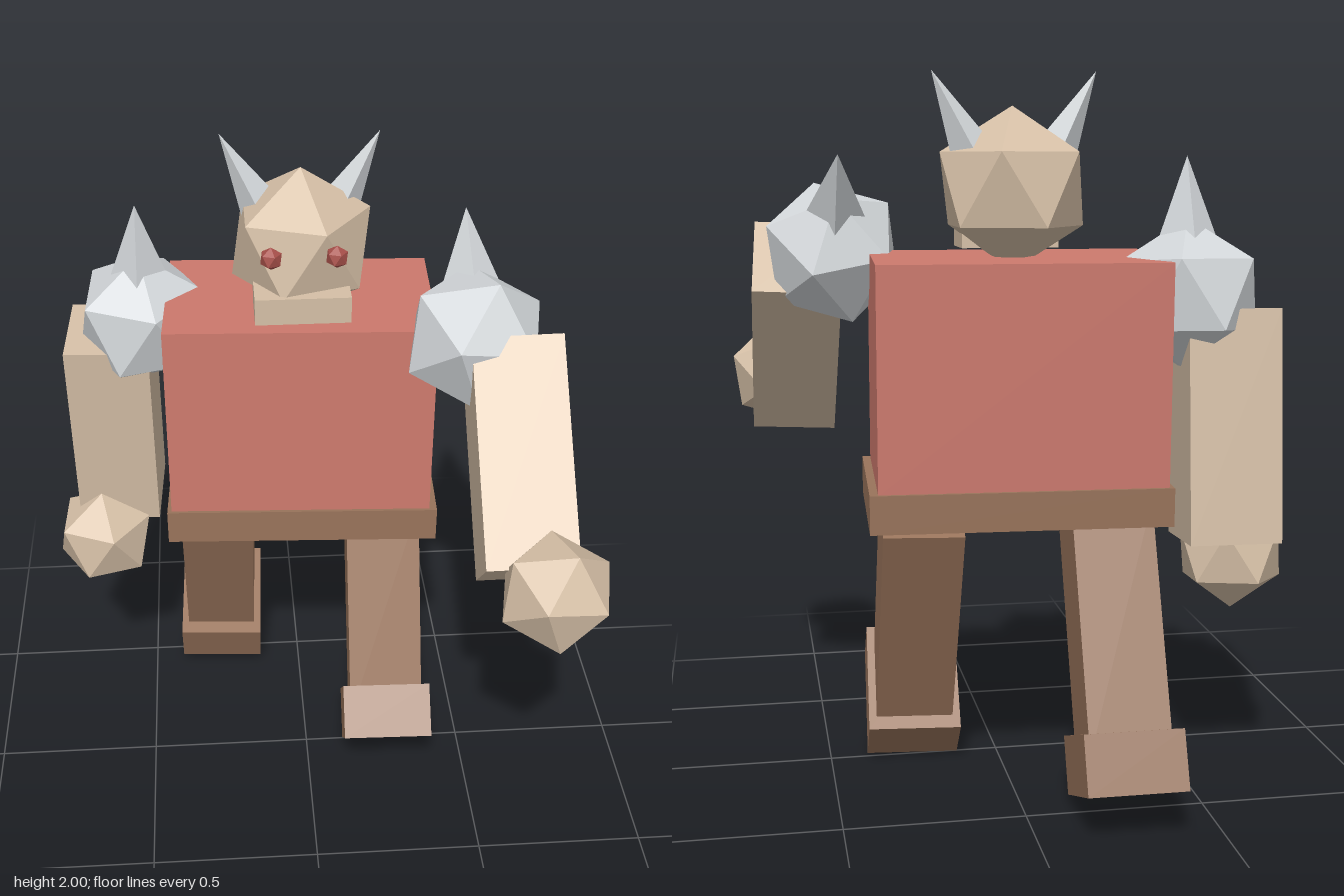
import * as THREE from 'three';
import { ConvexGeometry } from 'three/addons/geometries/ConvexGeometry.js';

const mat = (name, color) => {
  const m = new THREE.MeshStandardMaterial({ color });
  m.name = name;
  m.flatShading = true;
  return m;
};

export function createModel() {
  const red = mat('red tunic', 0xcc796d);
  const skin = mat('sand skin', 0xd5bfa6);
  const brown = mat('brown leather', 0x98735a);
  const steel = mat('pale steel', 0xd2d6d9);
  const eyeRed = mat('eye red', 0xa8504a);

  const add = (parent, name, geometry, material, x, y, z) => {
    const mesh = new THREE.Mesh(geometry, material);
    mesh.name = name;
    mesh.position.set(x, y, z);
    parent.add(mesh);
    return mesh;
  };
  const box = (w, h, d) => new THREE.BoxGeometry(w, h, d);

  // Icosahedron standing on a pole: two staggered rings of five and two tips
  const ico = (r) => {
    const pts = [new THREE.Vector3(0, r, 0), new THREE.Vector3(0, -r, 0)];
    for (let i = 0; i < 10; i++) {
      const a = (i * Math.PI) / 5;
      const y = i % 2 ? -0.4472 : 0.4472;
      pts.push(new THREE.Vector3(0.8944 * Math.cos(a), y, 0.8944 * Math.sin(a)).multiplyScalar(r));
    }
    return new ConvexGeometry(pts);
  };

  // Four-sided spike with its tip at the origin
  const spike = (r, h) => new THREE.ConeGeometry(r, h, 4).translate(0, -h / 2, 0);

  const model = new THREE.Group();
  model.name = 'hornedBrute';

  // Torso and belt, turned and leaning back slightly
  const body = new THREE.Group();
  body.name = 'body';
  body.position.set(0, 0.86, -0.27);
  body.rotation.set(-0.022, -0.046, 0, 'YXZ');
  model.add(body);
  add(body, 'belt', box(0.81, 0.105, 0.5), brown, 0, 0, 0);
  add(body, 'torso', box(0.775, 0.6, 0.48), red, -0.005, 0.35, 0);

  // Head with jaw, eyes and horns
  const head = new THREE.Group();
  head.name = 'head';
  head.position.set(0, 1.69, -0.27);
  model.add(head);
  add(head, 'skull', ico(0.22), skin, 0, 0, 0);
  add(head, 'jaw', box(0.27, 0.078, 0.15), skin, -0.005, -0.122, 0.125);
  for (const s of [-1, 1]) {
    add(head, 'eye', ico(0.033), eyeRed, s * 0.09 - 0.003, 0.043, 0.2);
    const horn = add(head, 'horn', spike(0.064, 0.26), steel, s * 0.222, 0.31, -0.03);
    horn.rotation.z = -s * 0.47;
  }

  // Arms swing from the shoulder; spike, forearm and fist follow
  const arm = (name, s, y, z, swing) => {
    const g = new THREE.Group();
    g.name = name;
    g.position.set(s * 0.467, y, z);
    g.rotation.set(swing, -0.06, 0);
    model.add(g);
    add(g, 'shoulderBall', ico(0.21), steel, 0, 0, 0);
    add(g, 'shoulderSpike', spike(0.1, 0.275), steel, 0, 0.375, 0);
    add(g, 'forearm', box(0.25, 0.63, 0.27), skin, s * 0.1, -0.353, 0.01);
    add(g, 'fist', ico(0.162), skin, s * 0.153, -0.73, 0.147);
  };
  arm('leftArm', 1, 1.51, 0, -0.76);
  arm('rightArm', -1, 1.405, -0.373, 0.09);

  // Striding legs with block feet
  const leg = (name, x, z, swing, footZ, footPitch) => {
    const g = new THREE.Group();
    g.name = name;
    g.position.set(x, 0.82, z);
    g.rotation.set(swing, -0.05, 0);
    model.add(g);
    add(g, 'shin', box(0.225, 0.68, 0.24), brown, 0, -0.36, 0);
    add(g, 'foot', box(0.27, 0.162, 0.342), brown, 0, -0.72, footZ).rotation.x = footPitch;
  };
  leg('leftLeg', 0.25, -0.25, -0.42, 0.03, -0.34);
  leg('rightLeg', -0.262, -0.28, 0.38, -0.008, 0);

  return model;
}
